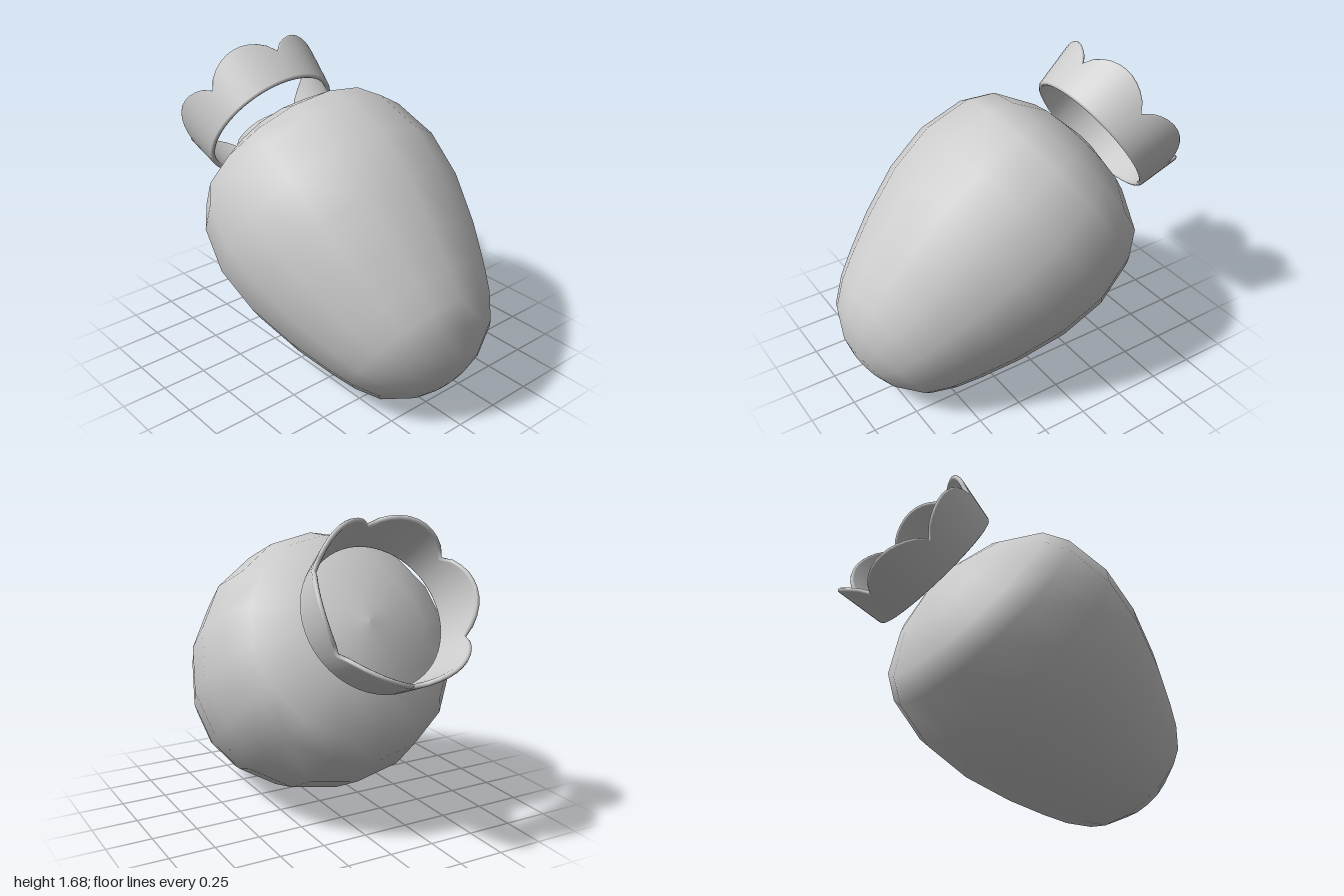
import * as THREE from 'three';

const material = new THREE.MeshStandardMaterial({ color: 0xcccccc });

// Berry profile: [distance below the crown plane, radius], from tip to shoulder
const PROFILE = [
  [1.757, 0], [1.745, 0.1], [1.717, 0.2], [1.62, 0.352], [1.495, 0.436], [1.36, 0.498],
  [1.155, 0.58], [0.885, 0.66], [0.62, 0.689], [0.364, 0.642], [0.234, 0.563],
  [0.113, 0.357], [0.055, 0.12], [0.04, 0],
];

function makeBody() {
  const points = PROFILE.map(([s, r]) => new THREE.Vector2(r, -s));
  const mesh = new THREE.Mesh(new THREE.LatheGeometry(points, 16), material);
  mesh.name = 'berryBody';
  return mesh;
}

// Flared ring with six rounded petals, swept from a rounded wall section
function makeCrown() {
  const segments = 60, lobes = 6, thickness = 0.026, bead = 0.012;
  const section = (top) => [
    [0, bead], [0, top - bead], [-0.005, top - 0.003], [-thickness / 2, top],
    [-thickness + 0.005, top - 0.003], [-thickness, top - bead],
    [-thickness, bead], [-thickness + 0.005, 0.003], [-thickness / 2, 0], [-0.005, 0.003],
  ];
  const n = section(1).length;
  const positions = [], indices = [];
  for (let i = 0; i < segments; i++) {
    const a = (i / segments) * Math.PI * 2;
    const top = 0.185 + 0.107 * Math.abs(Math.sin((a * lobes) / 2)) ** 0.7;
    for (const [dr, u] of section(top)) {
      const r = 0.396 + 0.155 * u + dr;
      positions.push(r * Math.sin(a), u, r * Math.cos(a));
    }
    const next = (i + 1) % segments;
    for (let j = 0; j < n; j++) {
      const k = (j + 1) % n;
      const p = i * n + j, q = next * n + j, t = next * n + k, s = i * n + k;
      indices.push(p, q, t, p, t, s);
    }
  }
  const geometry = new THREE.BufferGeometry();
  geometry.setAttribute('position', new THREE.Float32BufferAttribute(positions, 3));
  geometry.setIndex(indices);
  geometry.computeVertexNormals();
  const mesh = new THREE.Mesh(geometry, material);
  mesh.name = 'leafCrown';
  return mesh;
}

export function createModel() {
  const group = new THREE.Group();
  group.name = 'berry';

  // Both parts lean back around the centre of the crown plane
  const body = makeBody();
  body.position.set(0, 1.195, -0.55);
  body.rotation.x = -0.986;

  const crown = makeCrown();
  crown.position.set(0, 1.195, -0.55);
  crown.rotation.x = -1.011;

  group.add(body, crown);
  return group;
}
